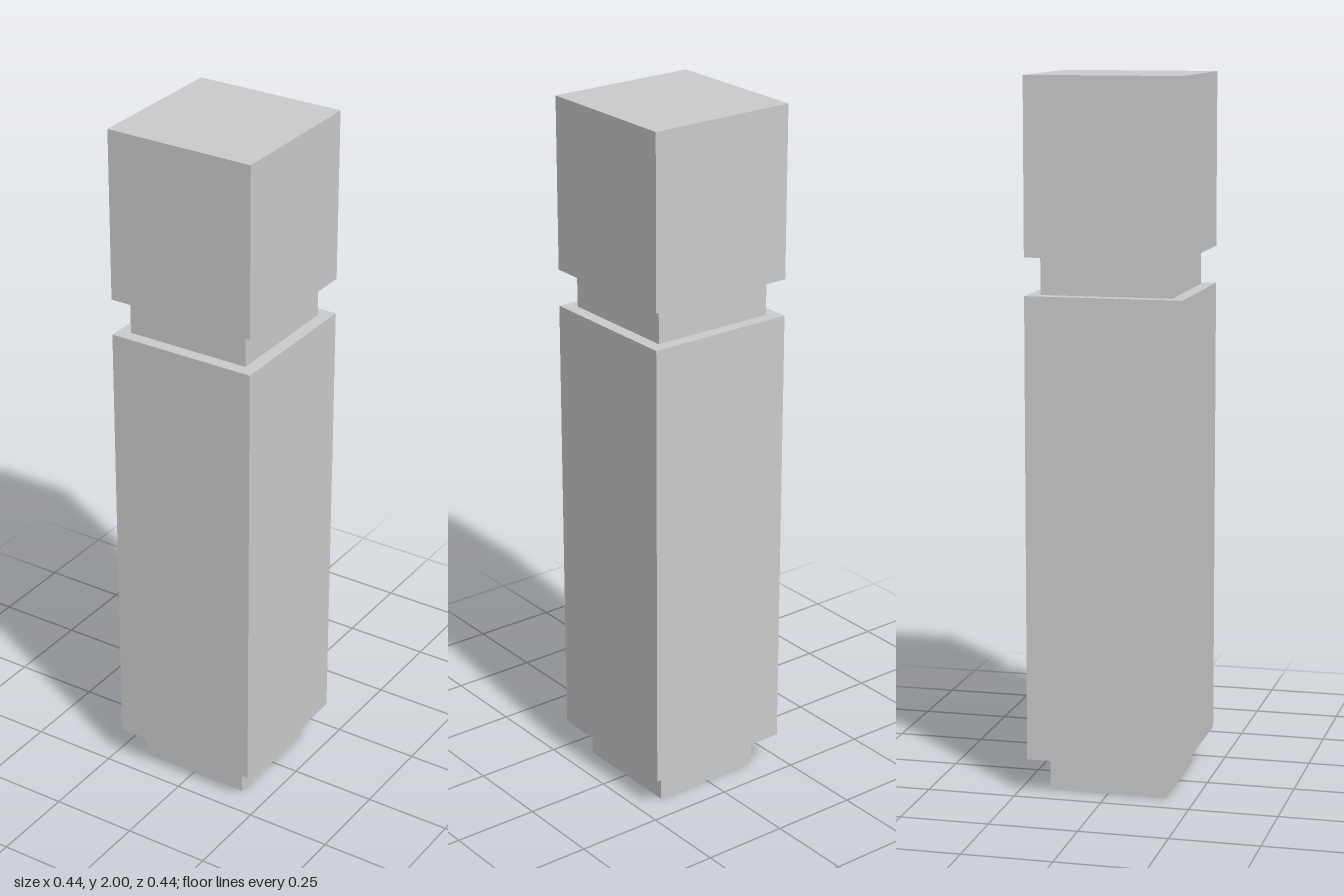
import * as THREE from 'three';

const material = new THREE.MeshStandardMaterial({ color: 0xcccccc, flatShading: true });

// Square block between two heights; half-widths may differ to make a taper
function block(name, y0, y1, halfBottom, halfTop = halfBottom) {
  const r = Math.SQRT2;
  const geometry = new THREE.CylinderGeometry(halfTop * r, halfBottom * r, y1 - y0, 4, 1)
    .rotateY(Math.PI / 4)
    .translate(0, (y0 + y1) / 2, 0)
    .toNonIndexed();
  geometry.computeVertexNormals();
  const mesh = new THREE.Mesh(geometry, material);
  mesh.name = name;
  return mesh;
}

export function createModel() {
  const post = new THREE.Group();
  post.name = 'post';
  post.add(
    block('foot', 0, 0.085, 0.167),
    block('shaftUnderside', 0.085, 0.1, 0.167, 0.22), // shallow slope out to the shaft
    block('shaft', 0.1, 1.405, 0.22),
    block('neck', 1.405, 1.51, 0.184),
    block('head', 1.51, 2, 0.22),
  );
  return post;
}
